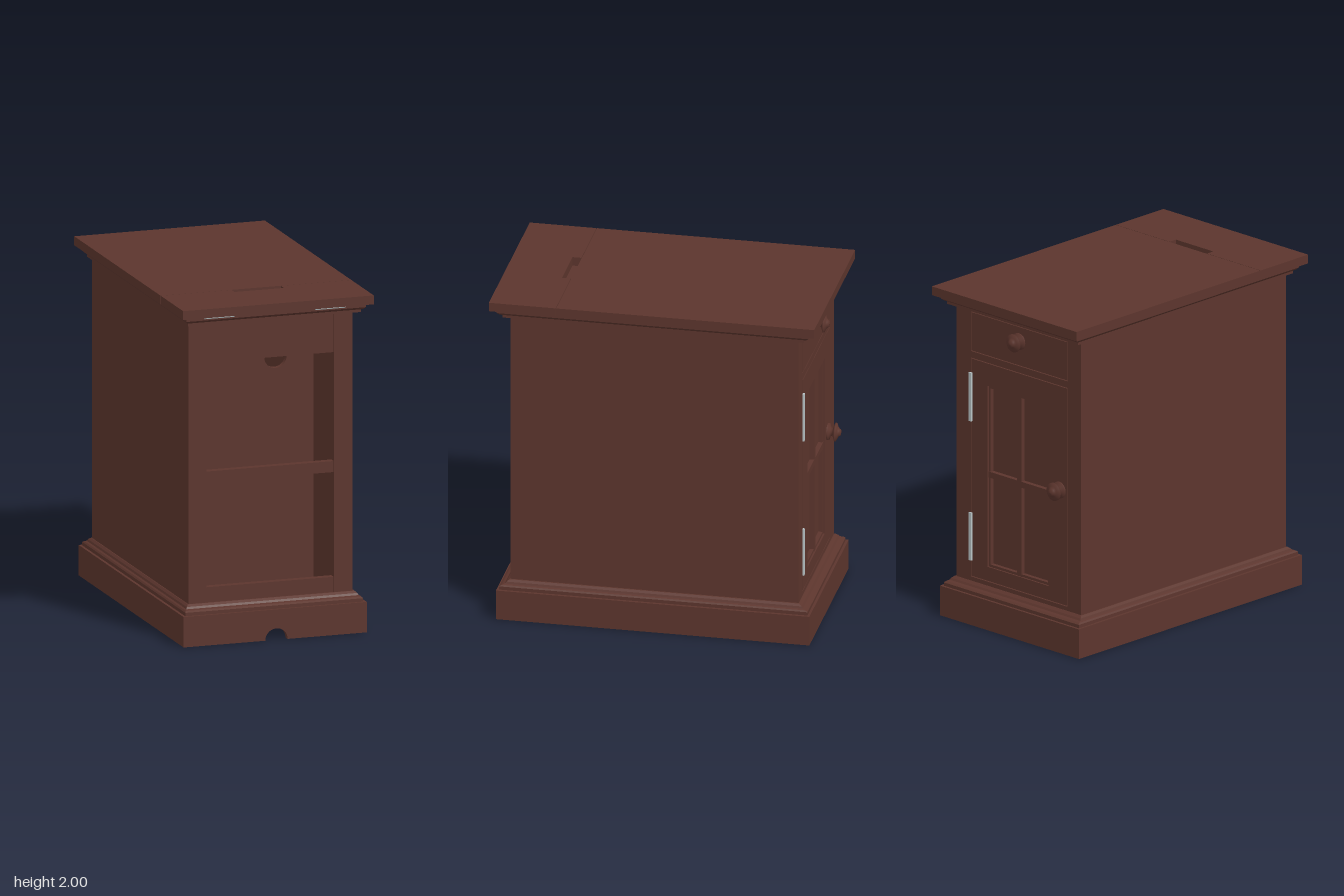
import * as THREE from 'three';

const wood = new THREE.MeshStandardMaterial({ color: 0x5c352d });
wood.name = 'brownWood';
const metal = new THREE.MeshStandardMaterial({ color: 0xb9c4c6 });
metal.name = 'hingeMetal';

export function createModel() {
  const root = new THREE.Group();
  root.name = 'sideCabinet';

  const add = (name, geo, mat = wood) => {
    const m = new THREE.Mesh(geo, mat);
    m.name = name;
    root.add(m);
    return m;
  };
  // Box given by its limits
  const box = (name, x0, x1, y0, y1, z0, z1, mat) => {
    const g = new THREE.BoxGeometry(x1 - x0, y1 - y0, z1 - z0);
    g.translate((x0 + x1) / 2, (y0 + y1) / 2, (z0 + z1) / 2);
    return add(name, g, mat);
  };
  // Rectangular moulding lofted through rings of [y, halfWidth, halfDepth]
  const moulding = (name, cx, rings) => {
    const corner = (r, j) => {
      const [sx, sz] = [[1, 1], [1, -1], [-1, -1], [-1, 1]][j % 4];
      return [cx + sx * r[1], r[0], sz * r[2]];
    };
    const pos = [];
    const quad = (a, b, c, d) => pos.push(...a, ...b, ...c, ...a, ...c, ...d);
    for (let i = 0; i < rings.length - 1; i++) {
      for (let j = 0; j < 4; j++) {
        quad(corner(rings[i], j), corner(rings[i], j + 1), corner(rings[i + 1], j + 1), corner(rings[i + 1], j));
      }
    }
    const lo = rings[0], hi = rings[rings.length - 1];
    quad(corner(lo, 3), corner(lo, 2), corner(lo, 1), corner(lo, 0));
    quad(corner(hi, 0), corner(hi, 1), corner(hi, 2), corner(hi, 3));
    const g = new THREE.BufferGeometry();
    g.setAttribute('position', new THREE.Float32BufferAttribute(pos, 3));
    g.computeVertexNormals();
    return add(name, g);
  };
  const rect = (x0, x1, y0, y1, C = THREE.Shape) => new C([
    new THREE.Vector2(x0, y0), new THREE.Vector2(x1, y0),
    new THREE.Vector2(x1, y1), new THREE.Vector2(x0, y1)]);
  const extrude = (shape, depth) =>
    new THREE.ExtrudeGeometry(shape, { depth, bevelEnabled: false, curveSegments: 24 });

  // Hollow plinth with a cable arch in the front board
  const px0 = -0.565, px1 = 0.55, pz = 0.92, t = 0.04, pTop = 0.18;
  const front = new THREE.Shape();
  front.moveTo(px0, 0);
  front.lineTo(-0.068, 0);
  front.absarc(0, 0, 0.068, Math.PI, 0, true);
  front.lineTo(px1, 0);
  front.lineTo(px1, pTop);
  front.lineTo(px0, pTop);
  add('plinthFront', extrude(front, t).translate(0, 0, pz - t));
  box('plinthBack', px0, px1, 0, pTop, -pz, -pz + t);
  box('plinthRight', px0, px0 + t, 0, pTop, -pz + t, pz - t);
  box('plinthLeft', px1 - t, px1, 0, pTop, -pz + t, pz - t);
  // Battens under the floor
  box('battenRight', px0 + t, px0 + 0.08, 0.13, pTop, -pz + t, pz - t);
  box('battenLeft', px1 - 0.08, px1 - t, 0.13, pTop, -pz + t, pz - t);

  // Floor with moulded edge
  moulding('baseMoulding', -0.008, [
    [0.179, 0.541, 0.905], [0.2, 0.541, 0.905], [0.208, 0.534, 0.892],
    [0.213, 0.524, 0.875], [0.224, 0.519, 0.866], [0.235, 0.507, 0.85]]);
  // Crown under the top
  moulding('crownMoulding', 0, [
    [1.89, 0.525, 0.885], [1.906, 0.525, 0.885], [1.912, 0.536, 0.9],
    [1.924, 0.546, 0.916], [1.945, 0.546, 0.916]]);

  // Side walls and corner stiles
  const y0 = 0.235, y1 = 1.89, zf = 0.845, zs = 0.8;
  const xr0 = -0.51, xr1 = -0.4, xl0 = 0.375, xl1 = 0.49;
  box('sideRight', xr0, xr1, y0, y1, -zs, zs);
  box('sideLeft', xl0, xl1, y0, y1, -zs, zs);
  for (const s of [1, -1]) {
    const a = Math.min(s * zs, s * zf), b = Math.max(s * zs, s * zf);
    const n = s > 0 ? 'front' : 'back';
    box(n + 'StileRight', xr0, xr1, y0, y1, a, b);
    box(n + 'StileLeft', xl0, xl1, y0, y1, a, b);
  }

  // Front rails
  box('frontTopRail', xr1, xl0, 1.655, y1, zs, zf - 0.003);
  box('frontMiddleRail', xr1, xl0, 0.945, 1.01, zs, zf - 0.003);
  box('frontBottomRail', xr1, xl0, y0, 0.325, zs, zf - 0.003);

  // Inner panel with cable hole
  const inner = rect(xr1, xl0, y0, y1);
  const hole = new THREE.Path();
  hole.absarc(0.145, 1.565, 0.068, 0, Math.PI * 2, true);
  inner.holes.push(hole);
  add('innerPanel', extrude(inner, 0.03).translate(0, 0, 0.455));

  // Back rails, drawer front
  box('backTopRail', xr1, xl0, 1.872, y1, -zf, -zs);
  box('backMiddleRail', xr1, xl0, 1.59, 1.63, -zf, -zs);
  box('backBottomRail', xr1, xl0, y0, 0.26, -zf, -zs);
  box('drawerFront', xr1 + 0.005, xl0 - 0.005, 1.635, 1.867, -zf, -zs);

  // Door frame, recessed pane, beading and glazing bars
  const gx0 = -0.25, gx1 = 0.24, gy0 = 0.35, gy1 = 1.45;
  const frame = rect(xr1 + 0.005, xl0 - 0.005, 0.265, 1.585);
  frame.holes.push(rect(gx0, gx1, gy0, gy1, THREE.Path));
  add('doorFrame', extrude(frame, 0.045).translate(0, 0, -zf));
  box('doorPane', gx0 - 0.01, gx1 + 0.01, gy0 - 0.01, gy1 + 0.01, -0.81, -0.802);
  const bead = rect(gx0, gx1, gy0, gy1);
  bead.holes.push(rect(gx0 + 0.015, gx1 - 0.015, gy0 + 0.015, gy1 - 0.015, THREE.Path));
  add('doorBeading', extrude(bead, 0.03).translate(0, 0, -0.835));
  const gxm = (gx0 + gx1) / 2, gym = 0.91;
  box('glazingBarUpright', gxm - 0.018, gxm + 0.018, gy0, gy1, -0.838, -0.806);
  box('glazingBarCross', gx0, gx1, gym - 0.018, gym + 0.018, -0.838, -0.806);

  // Turned knobs
  const knobProfile = [[0.05, 0], [0.05, 0.01], [0.026, 0.018], [0.022, 0.03], [0.036, 0.036],
    [0.054, 0.043], [0.054, 0.05], [0.036, 0.058], [0.024, 0.066], [0.018, 0.076], [0, 0.079]]
    .map(([r, h]) => new THREE.Vector2(r, h));
  const knob = (name, x, y) => {
    const g = new THREE.LatheGeometry(knobProfile, 24);
    g.rotateX(-Math.PI / 2);
    add(name, g).position.set(x, y, -zf);
  };
  knob('drawerKnob', -0.012, 1.78);
  knob('doorKnob', -0.335, 0.955);

  // Door hinges
  for (const [a, b] of [[0.36, 0.65], [1.205, 1.5]]) {
    box('doorHinge', xl0 - 0.012, xl0 + 0.008, a, b, -0.855, -0.84, metal);
  }
  // Flap hinges under the front of the top
  for (const x of [-0.35, 0.325]) {
    box('flapHinge', x - 0.09, x + 0.09, 1.936, 1.946, 0.9, 0.925, metal);
    const pin = new THREE.CylinderGeometry(0.006, 0.006, 0.18, 10);
    pin.rotateZ(Math.PI / 2);
    add('flapHingePin', pin, metal).position.set(x, 1.94, 0.926);
  }

  // Table top and front flap with finger slot
  box('tableTop', -0.58, 0.58, 1.947, 2, -0.955, 0.56);
  const flap = new THREE.Shape([
    [-0.58, -0.955], [0.58, -0.955], [0.58, -0.563], [0.15, -0.563],
    [0.15, -0.615], [-0.15, -0.615], [-0.15, -0.563], [-0.58, -0.563]]
    .map(([x, y]) => new THREE.Vector2(x, y)));
  add('topFlap', extrude(flap, 0.053).rotateX(-Math.PI / 2).translate(0, 1.947, 0));

  return root;
}
